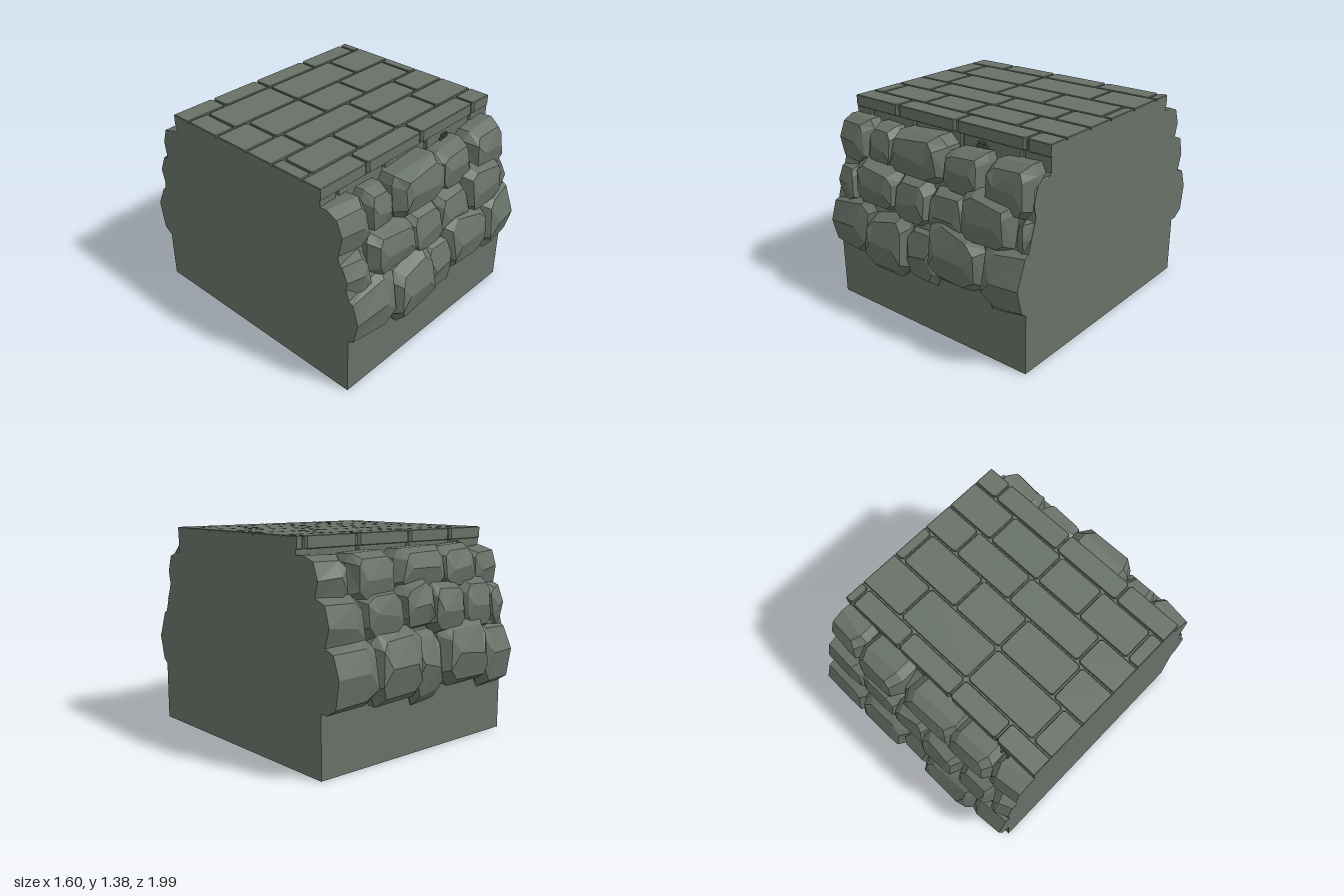
import * as THREE from 'three';

const HALF = 0.8; // both ends of the wall are cut flat at x = +-HALF

let seed = 7;
function jitter(amount) {
  seed = (seed * 16807) % 2147483647;
  return (seed / 2147483647 - 0.5) * 2 * amount;
}

// Irregular eight-sided outline inside a box; tilt raises the right end of the top edge
function stoneOutline([x0, x1, y0, y1, tilt]) {
  const corners = [[0.15, 0], [0.83, 0.01], [1, 0.21], [0.97, 0.82], [0.85, 1], [0.17, 0.98], [0.03, 0.82], [0, 0.23]];
  return corners.map(([u, v]) => new THREE.Vector2(
    x0 + (x1 - x0) * (u + jitter(0.05)),
    y0 + (y1 - y0) * (v + jitter(0.03)) + tilt * (u - 0.5) * v * 2,
  ));
}

// Rough boulder: an outline swept through three rings and closed with a level ridge
function stoneGeometry(box, zBack, zFront) {
  const outline = stoneOutline(box);
  const n = outline.length;
  const c = new THREE.Vector2();
  outline.forEach((p) => c.addScaledVector(p, 1 / n));
  const rings = [
    { scale: 0.94, z: zBack, rough: 0, lean: 0, dome: 0 },
    { scale: 1, z: zFront - 0.095, rough: 0.015, lean: 0.08, dome: 0.4 },
    { scale: 0.78, z: zFront - 0.012, rough: 0.01, lean: 0.08, dome: 1.3 },
  ];
  const pos = [];
  // Past the cut ends a stone falls back a little before it is trimmed
  const push = (x, y, z) => pos.push(
    THREE.MathUtils.clamp(x, -HALF, HALF), y, z - Math.max(0, Math.abs(x) - HALF) * 0.45);
  for (const r of rings) {
    for (const p of outline) {
      const dy = (p.y - c.y) * r.scale;
      push(c.x + (p.x - c.x) * r.scale, c.y + dy, r.z + jitter(r.rough) - dy * r.lean - dy * dy * r.dome);
    }
  }
  const reach = (box[1] - box[0]) * 0.24;
  for (const s of [1, -1]) push(c.x + s * reach, c.y + jitter(0.02), zFront);
  const idx = [];
  const cap = 2 * n, right = 3 * n, left = 3 * n + 1;
  for (let i = 0; i < n; i++) {
    const j = (i + 1) % n;
    for (let r = 0; r < 2; r++) {
      const a = r * n + i, b = r * n + j;
      idx.push(a, b, b + n, a, b + n, a + n);
    }
    idx.push(cap + i, cap + j, i < n / 2 ? right : left);
  }
  idx.push(cap, right, left, cap + n / 2, left, right);
  const indexed = new THREE.BufferGeometry();
  indexed.setAttribute('position', new THREE.Float32BufferAttribute(pos, 3));
  indexed.setIndex(idx);
  const g = indexed.toNonIndexed();
  g.computeVertexNormals();
  return g;
}

// Paving block with clipped corners, lying flat; corners on the cut ends stay square
function paverGeometry(x0, x1, z0, z1, y0, y1) {
  const clip = 0.014, bevel = 0.004;
  const l = x0 <= -HALF ? 0 : clip, r = x1 >= HALF ? 0 : clip;
  const points = [
    [x0 + l, -z1], [x1 - r, -z1], [x1, -z1 + r], [x1, -z0 - r],
    [x1 - r, -z0], [x0 + l, -z0], [x0, -z0 - l], [x0, -z1 + l],
  ].map(([x, y]) => new THREE.Vector2(x, y));
  const distinct = points.filter((p, i) => !p.equals(points[(i + 1) % points.length]));
  const g = new THREE.ExtrudeGeometry(new THREE.Shape(distinct), {
    depth: y1 - y0 - 2 * bevel, bevelSegments: 1, bevelSize: bevel, bevelOffset: -bevel, bevelThickness: bevel,
  });
  g.rotateX(-Math.PI / 2);
  g.translate(0, y0 + bevel, 0);
  return g;
}

export function createModel() {
  const stone = new THREE.MeshStandardMaterial({ color: 0x687168, flatShading: true });
  stone.name = 'grey green stone';
  const model = new THREE.Group();
  model.name = 'stoneWall';
  const add = (parent, geometry, name) => {
    const m = new THREE.Mesh(geometry, stone);
    m.name = name;
    parent.add(m);
  };
  const group = (name) => {
    const g = new THREE.Group();
    g.name = name;
    model.add(g);
    return g;
  };

  // Core: end profile (z, y) swept along x
  const profile = [
    [0.87, 0], [0.87, 0.72], [0.83, 0.84], [0.79, 0.96], [0.76, 1.1], [0.68, 1.18], [0.63, 1.22], [0.63, 1.3],
    [-0.59, 1.3], [-0.59, 1.22], [-0.65, 1.17], [-0.74, 1.1], [-0.77, 0.98], [-0.81, 0.86], [-0.84, 0.74], [-0.84, 0],
  ];
  const core = new THREE.ExtrudeGeometry(
    new THREE.Shape(profile.map(([z, y]) => new THREE.Vector2(-z, y))), { depth: 2 * HALF, bevelEnabled: false });
  core.translate(0, 0, -HALF);
  core.rotateY(Math.PI / 2);
  add(model, core, 'wallCore');

  // Paved top: bed of mortar plus rows of blocks
  const paving = group('paving');
  const bed = new THREE.BoxGeometry(2 * HALF, 0.06, 1.255);
  bed.translate(0, 1.33, 0.0125);
  add(paving, bed, 'mortarBed');
  const rowEdges = [-0.63, -0.488, -0.215, 0.05, 0.27, 0.507, 0.655];
  const joints = [
    [-0.49, -0.11, 0.33, 0.74], [-0.65, -0.11, 0.465], [-0.555, -0.11, 0.27, 0.73],
    [-0.51, 0.07, 0.53], [-0.71, -0.315, 0.03, 0.44], [-0.41, 0.09, 0.625],
  ];
  const gap = 0.006;
  joints.forEach((row, r) => {
    const xs = [-HALF, ...row, HALF];
    const z0 = rowEdges[r] + (r === 0 ? 0 : gap);
    const z1 = rowEdges[r + 1] - (r === joints.length - 1 ? 0 : gap);
    for (let i = 0; i < xs.length - 1; i++) {
      const x0 = xs[i] + (i === 0 ? 0 : gap);
      const x1 = xs[i + 1] - (i === xs.length - 2 ? 0 : gap);
      add(paving, paverGeometry(x0, x1, z0, z1, 1.298, 1.375), 'paver');
    }
  });

  // Course of bricks just under the paving, on both faces
  const course = group('upperCourse');
  for (const [z, xs] of [[0.615, [-HALF, -0.66, -0.26, 0.14, 0.6, HALF]], [-0.585, [-HALF, -0.5, -0.1, 0.33, HALF]]]) {
    for (let i = 0; i < xs.length - 1; i++) {
      const x0 = xs[i] + (i === 0 ? 0 : 0.015);
      const x1 = xs[i + 1] - (i === xs.length - 2 ? 0 : 0.015);
      const g = new THREE.BoxGeometry(x1 - x0, 0.16, 0.07);
      g.translate((x0 + x1) / 2, 1.22, z);
      add(course, g, 'courseBrick');
    }
  }

  // Boulders on one face, from the top row down; each is [left, right, bottom, top, tilt, bulge]
  const addBoulders = (name, rows) => {
    const side = group(name);
    rows.forEach((boxes, r) => {
      const zBack = 0.57 + r * 0.08, zFront = 0.86 + r * 0.063;
      for (const box of boxes) add(side, stoneGeometry(box, zBack, zFront + box[5]), 'boulder');
    });
    return side;
  };
  addBoulders('frontBoulders', [
    [[-0.96, -0.53, 0.95, 1.265, 0, -0.02], [-0.55, -0.33, 0.98, 1.26, 0, -0.04], [-0.35, 0.13, 0.99, 1.28, 0.02, 0.01],
      [0.11, 0.44, 0.96, 1.25, 0, -0.02], [0.43, 0.78, 0.94, 1.26, 0, -0.01], [0.76, 1, 0.97, 1.2, 0, -0.05]],
    [[-0.98, -0.59, 0.68, 0.96, 0, -0.03], [-0.62, -0.21, 0.73, 1.03, -0.03, 0], [-0.25, 0.06, 0.7, 1.01, 0, -0.01],
      [0.03, 0.36, 0.7, 1, 0, -0.02], [0.3, 0.72, 0.73, 1.06, -0.03, 0], [0.69, 1, 0.73, 0.98, 0, -0.05]],
    [[-1, -0.39, 0.385, 0.77, 0.03, -0.02], [-0.48, -0.08, 0.34, 0.75, 0.03, 0.01], [-0.13, 0.16, 0.35, 0.74, 0, -0.03],
      [0.06, 0.51, 0.415, 0.83, -0.04, -0.01], [0.48, 0.99, 0.38, 0.81, 0, -0.01]],
  ]);
  // The back face is laid out as seen from behind, then turned half a circle
  addBoulders('backBoulders', [
    [[-0.95, -0.53, 0.98, 1.27, 0, -0.03], [-0.55, -0.18, 0.97, 1.28, 0, 0], [-0.18, 0.31, 1.01, 1.28, 0, -0.03],
      [0.24, 0.57, 0.99, 1.28, 0, -0.03], [0.54, 0.95, 0.97, 1.25, 0, -0.06]],
    [[-0.93, -0.48, 0.71, 1.05, 0, -0.01], [-0.51, -0.17, 0.76, 1.06, 0, -0.02], [-0.19, 0.1, 0.78, 1.09, 0.02, -0.02],
      [0.04, 0.39, 0.73, 1.06, 0, 0], [0.36, 0.67, 0.72, 1.06, 0, -0.02], [0.64, 0.95, 0.71, 1.02, 0, -0.04]],
    [[-0.95, -0.44, 0.4, 0.8, 0, 0.01], [-0.49, -0.06, 0.39, 0.83, 0, 0.01], [-0.14, 0.15, 0.33, 0.8, 0, -0.04],
      [0.1, 0.58, 0.4, 0.81, 0, 0], [0.49, 0.95, 0.33, 0.77, 0, -0.04]],
  ]).rotation.y = Math.PI;

  // Tiny clumps of pebbles tucked below the paving
  const pebbles = group('pebbles');
  for (const [x, z] of [[0.31, 0.66], [-0.56, -0.63]]) {
    for (let i = 0; i < 7; i++) {
      const g = new THREE.IcosahedronGeometry(0.011, 0);
      g.translate(x + (i - 3) * 0.012, 1.265 + (i % 2 ? 0.014 : -0.01), z + jitter(0.008));
      add(pebbles, g, 'pebble');
    }
  }
  return model;
}
